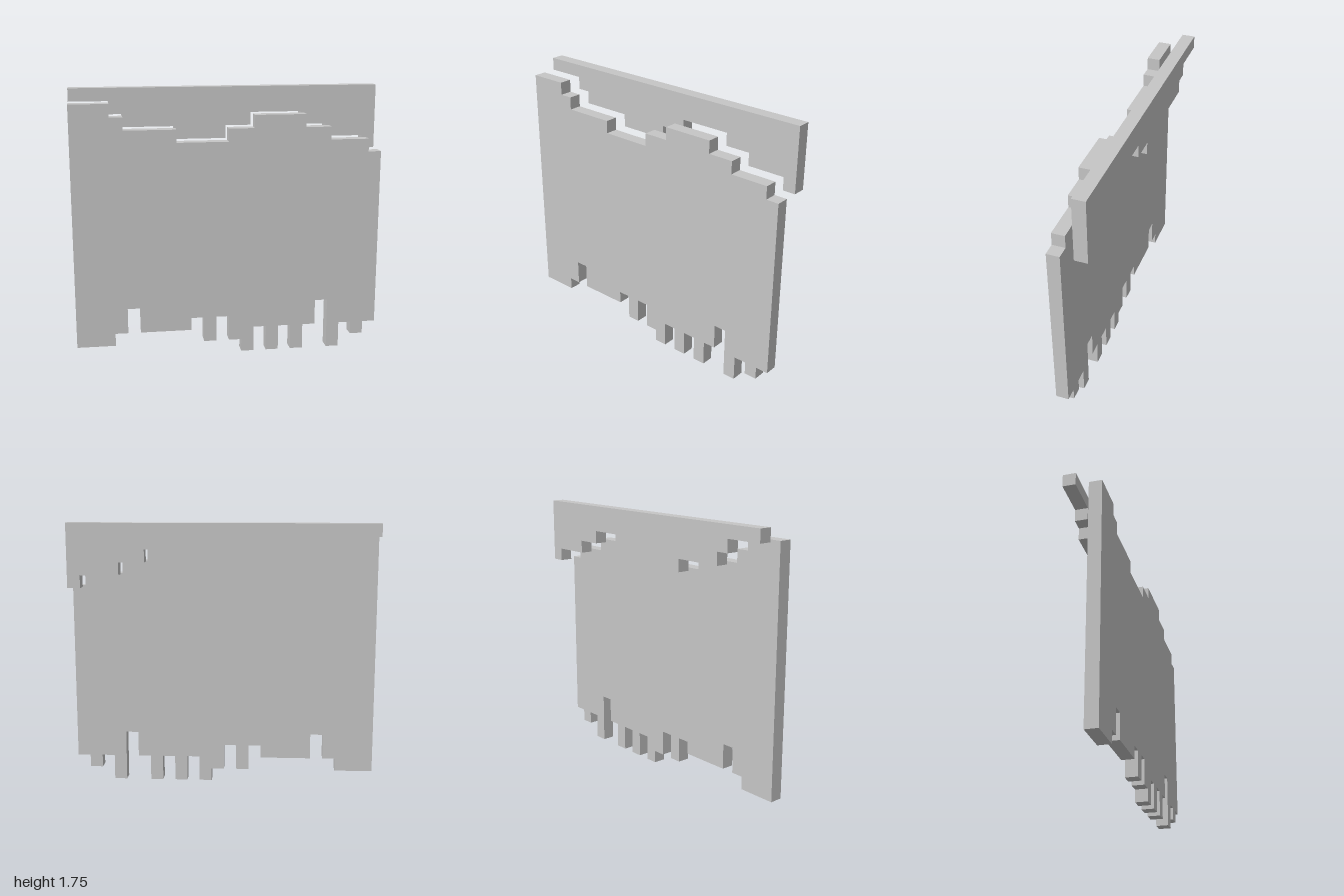
import * as THREE from 'three';

const U = 1 / 12; // one grid cell; the panels are 24 cells wide

// Step heights as [cells wide, height in cells], running from -x to +x
const TORN = [[3, 20], [1, 19], [4, 18], [4, 17], [2, 18], [4, 19], [2, 18], [3, 17], [1, 16]];
const FRINGE = [
  [3, 1], [1, 2], [1, 4], [4, 2], [1, 3], [1, 1], [1, 3], [1, 1], [1, 0], [1, 2],
  [1, 0], [1, 2], [1, 0], [1, 2], [1, 4], [1, 0], [1, 2], [1, 1], [1, 2],
];
const STRAIGHT = [[24, 21]];

// Turns a list of steps into the corner points of a staircase line
function stepLine(steps) {
  const points = [];
  let x = -12;
  for (const [width, height] of steps) {
    points.push(new THREE.Vector2(x * U, height * U));
    x += width;
    points.push(new THREE.Vector2(x * U, height * U));
  }
  return points;
}

// Slab one cell thick between a lower and an upper staircase line
function panel(name, lower, upper, z, material) {
  const shape = new THREE.Shape([...stepLine(lower), ...stepLine(upper).reverse()]);
  const geometry = new THREE.ExtrudeGeometry(shape, { depth: U, bevelEnabled: false });
  const mesh = new THREE.Mesh(geometry, material);
  mesh.name = name;
  mesh.position.z = z;
  return mesh;
}

export function createModel() {
  const lightGrey = new THREE.MeshStandardMaterial({ color: 0xc6c6c6 });
  lightGrey.name = 'lightGrey';

  const model = new THREE.Group();
  model.name = 'steppedBanner';
  // Hanging cloth with a ragged hem, and the strip behind that continues its top edge
  model.add(panel('frontCloth', FRINGE, TORN, 0.5 * U, lightGrey));
  model.add(panel('backTopStrip', TORN, STRAIGHT, -1.5 * U, lightGrey));
  return model;
}
